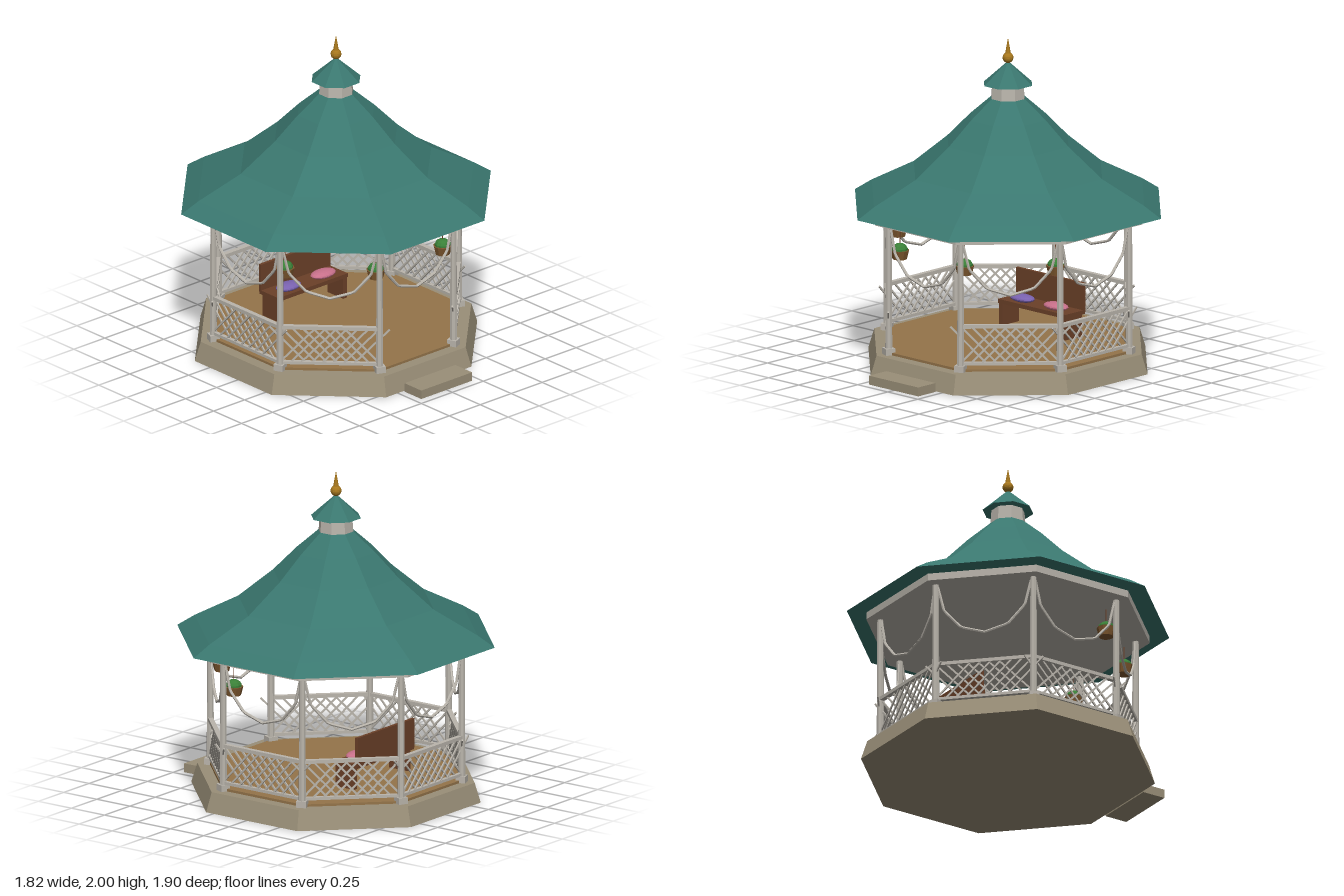
import * as THREE from 'three';

const mat = (color) => new THREE.MeshStandardMaterial({ color, flatShading: true, side: THREE.DoubleSide });
const M = {
  stone: mat(0x9a8f78), floor: mat(0x94744a), paint: mat(0xbab5ac), roof: mat(0x3a776f),
  wood: mat(0x6b4028), gold: mat(0xa8781e), basket: mat(0x80592f), leaf: mat(0x3a8038),
  purple: mat(0x7a62b0), pink: mat(0xc8708a),
};
const C8 = Math.cos(Math.PI / 8);
const POST_R = 0.78;
const SIDE = 2 * POST_R * Math.sin(Math.PI / 8);

function add(parent, name, geo, material, x = 0, y = 0, z = 0) {
  const mesh = new THREE.Mesh(geo, material);
  mesh.name = name;
  mesh.position.set(x, y, z);
  parent.add(mesh);
  return mesh;
}
function group(parent, name) {
  const g = new THREE.Group();
  g.name = name;
  parent.add(g);
  return g;
}
const box = (w, h, d) => new THREE.BoxGeometry(w, h, d);

// Octagonal prism whose flats face the axes; a and b are the flat-to-centre distances
function octagon(aTop, aBottom, y0, y1) {
  return new THREE.CylinderGeometry(aTop / C8, aBottom / C8, y1 - y0, 8)
    .rotateY(Math.PI / 8).translate(0, (y0 + y1) / 2, 0);
}

// Balustrade between two posts, facing +z, centred on x = 0
function railing(parent) {
  const g = group(parent, 'railing');
  add(g, 'topRail', box(SIDE, 0.022, 0.03), M.paint, 0, 0.4, 0);
  add(g, 'bottomRail', box(SIDE, 0.018, 0.025), M.paint, 0, 0.17, 0);
  const run = 0.21, rise = 0.22;
  for (const s of [-1, 1]) {
    for (let i = 0; i < 8; i++) {
      const slat = add(g, 'latticeSlat', box(0.011, Math.hypot(run, rise), 0.008), M.paint,
        s * (-0.19 + i * 0.0635), 0.287, s * 0.004);
      slat.rotation.z = -s * Math.atan2(run, rise);
    }
  }
}

function hangingBasket(parent, x, z) {
  const g = group(parent, 'hangingBasket');
  g.position.set(x, 0, z);
  add(g, 'basket', new THREE.CylinderGeometry(0.058, 0.044, 0.055, 10), M.basket, 0, 0.732, 0);
  add(g, 'hanger', new THREE.CylinderGeometry(0.003, 0.003, 0.13, 5), M.wood, 0, 0.82, 0);
  add(g, 'foliage', new THREE.SphereGeometry(0.05, 10, 7).scale(1, 0.8, 1), M.leaf, 0, 0.762, 0);
}

function bench(parent) {
  const g = group(parent, 'bench');
  add(g, 'seat', box(0.56, 0.025, 0.17), M.wood, 0, 0.282, -0.29);
  add(g, 'backrest', box(0.56, 0.18, 0.02), M.wood, 0, 0.372, -0.37);
  for (const s of [-1, 1]) {
    add(g, 'leg', box(0.03, 0.14, 0.14), M.wood, s * 0.262, 0.202, -0.28);
    const cushion = new THREE.SphereGeometry(1, 16, 10).scale(0.09, 0.024, 0.055);
    add(g, 'cushion', cushion, s < 0 ? M.purple : M.pink, s * 0.14, 0.313, -0.27);
  }
}

export function createModel() {
  const model = new THREE.Group();
  model.name = 'gazebo';
  const body = group(model, 'pavilion');
  body.position.z = -0.04;

  // Plinth, deck and entry step
  add(body, 'plinth', octagon(0.795, 0.83, 0, 0.12), M.stone);
  add(body, 'deck', octagon(0.725, 0.725, 0.115, 0.135), M.floor);
  add(model, 'step', box(0.41, 0.055, 0.15), M.stone, 0, 0.0275, 0.875);

  // Posts on the eight corners
  for (let i = 0; i < 8; i++) {
    const a = (i + 0.5) * Math.PI / 4;
    const g = group(body, 'post');
    g.position.set(POST_R * Math.sin(a), 0, POST_R * Math.cos(a));
    g.rotation.y = a;
    add(g, 'postShaft', new THREE.CylinderGeometry(0.019, 0.023, 0.81, 8), M.paint, 0, 0.525, 0);
    add(g, 'postBase', box(0.06, 0.04, 0.06), M.paint, 0, 0.14, 0);
  }

  // Bays: a hanging scallop on each side, a railing on all but the entrance
  const swag = [];
  for (let k = 0; k <= 6; k++) {
    const t = k * Math.PI / 6;
    swag.push(new THREE.Vector3(-0.285 * Math.cos(t), 0.91 - 0.32 * Math.sin(t), 0));
  }
  const swagPath = new THREE.CurvePath();
  for (let k = 0; k < 6; k++) swagPath.add(new THREE.LineCurve3(swag[k], swag[k + 1]));
  const swagGeo = new THREE.TubeGeometry(swagPath, 36, 0.009, 6);
  for (let i = 0; i < 8; i++) {
    const turn = group(body, 'bay');
    turn.rotation.y = i * Math.PI / 4;
    const bay = group(turn, 'bayFrame');
    bay.position.z = POST_R * C8;
    add(bay, 'scallop', swagGeo, M.paint);
    if (i > 0) railing(bay);
  }

  // Ceiling beam and bell-shaped roof
  add(body, 'beam', octagon(0.8, 0.8, 0.925, 0.97), M.paint);
  const profile = [[0, 0.97], [0.91, 0.97], [0.81, 1.04], [0.56, 1.18], [0.36, 1.36], [0.225, 1.51], [0.1, 1.63]]
    .map(([a, y]) => new THREE.Vector2(a / C8, y));
  add(body, 'roof', new THREE.LatheGeometry(profile, 8, Math.PI / 8), M.roof);

  // Cupola and finial
  add(body, 'cupolaDrum', octagon(0.093, 0.1, 1.625, 1.725), M.paint);
  add(body, 'cupolaRoof', octagon(0.001, 0.143, 1.715, 1.855), M.roof);
  add(body, 'finialBall', new THREE.SphereGeometry(0.033, 14, 10), M.gold, 0, 1.877, 0);
  add(body, 'finialSpike', new THREE.ConeGeometry(0.018, 0.1, 10), M.gold, 0, 1.95, 0);

  // Furnishings
  bench(body);
  for (const s of [-1, 1]) {
    hangingBasket(body, s * 0.27, 0.655);
    hangingBasket(body, s * 0.655, 0.27);
  }
  return model;
}
